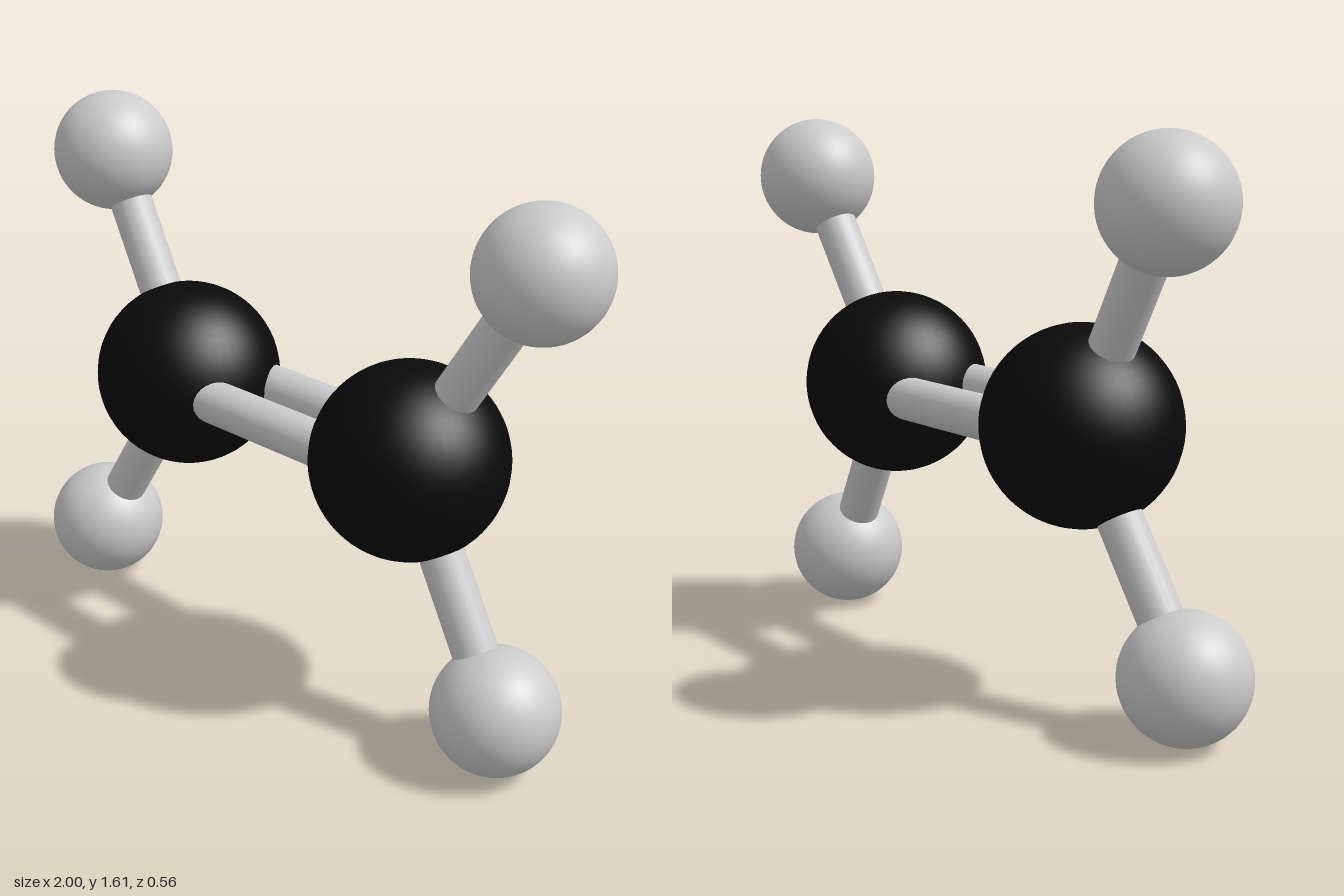
import * as THREE from 'three';

const grey = new THREE.MeshStandardMaterial({ color: 0xcccccc });
const black = new THREE.MeshStandardMaterial({ color: 0x0a0a0a });

const MID = 0.807; // height of the molecule's centre
const TILT = 0.076; // lean of the molecular plane about x

function atom(name, radius, position, material) {
  const mesh = new THREE.Mesh(new THREE.SphereGeometry(radius, 48, 32), material);
  mesh.name = name;
  mesh.position.copy(position);
  return mesh;
}

// Cylinder running from one point to another
function bond(name, from, to) {
  const dir = to.clone().sub(from);
  const mesh = new THREE.Mesh(new THREE.CylinderGeometry(0.065, 0.065, dir.length(), 24), grey);
  mesh.name = name;
  mesh.position.copy(from).add(to).multiplyScalar(0.5);
  mesh.quaternion.setFromUnitVectors(new THREE.Vector3(0, 1, 0), dir.normalize());
  return mesh;
}

export function createModel() {
  // Built flat in the xy plane, then tilted as a whole
  const molecule = new THREE.Group();
  molecule.name = 'molecule';
  molecule.position.y = MID;
  molecule.rotation.x = -TILT;

  for (const [side, sx] of [['left', 1], ['right', -1]]) {
    const centre = new THREE.Vector3(sx * 0.446, 0, 0);
    molecule.add(atom(side + 'CarbonAtom', 0.281, centre, black));

    // Two hydrogens branch off each carbon
    for (const [level, sy] of [['Upper', 1], ['Lower', -1]]) {
      const end = new THREE.Vector3(sx * 0.818, sy * 0.624, 0);
      molecule.add(atom(side + level + 'HydrogenAtom', 0.182, end, grey));
      molecule.add(bond(side + level + 'Bond', centre, end));
    }
  }

  // Double bond: two parallel rods between the carbons
  for (const [name, z] of [['frontDoubleBond', 0.117], ['backDoubleBond', -0.117]]) {
    molecule.add(bond(name, new THREE.Vector3(-0.446, 0, z), new THREE.Vector3(0.446, 0, z)));
  }

  const model = new THREE.Group();
  model.name = 'ballAndStickModel';
  model.add(molecule);
  return model;
}
